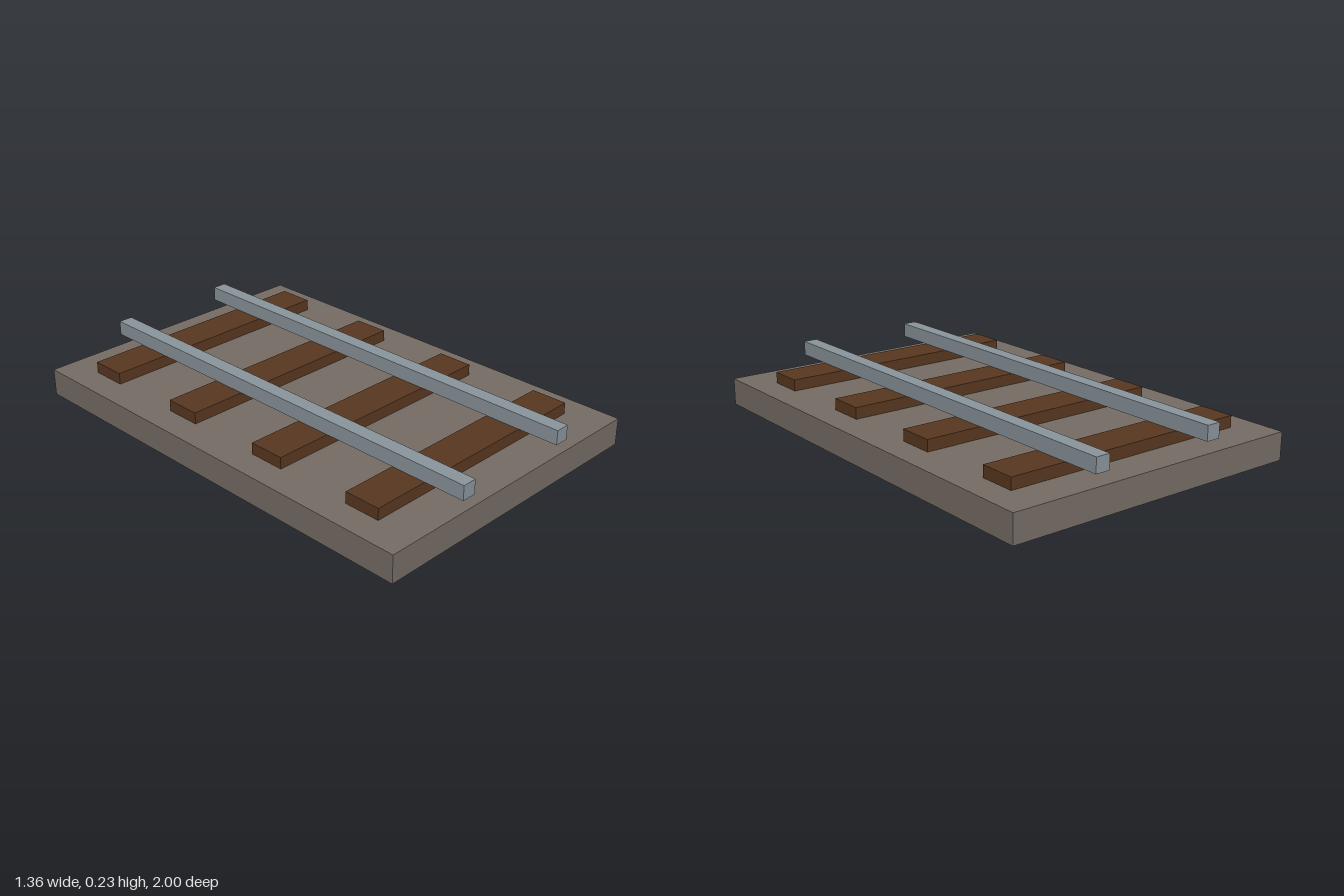
import * as THREE from 'three';

const ballastGrey = new THREE.MeshStandardMaterial({ color: 0x766d65 });
const sleeperBrown = new THREE.MeshStandardMaterial({ color: 0x593820 });
const railSteel = new THREE.MeshStandardMaterial({ color: 0x8a959d });
ballastGrey.name = 'ballastGrey';
sleeperBrown.name = 'sleeperBrown';
railSteel.name = 'railSteel';

// Box whose underside sits at height y
function block(name, material, [w, h, d], x, y, z) {
  const mesh = new THREE.Mesh(new THREE.BoxGeometry(w, h, d), material);
  mesh.name = name;
  mesh.position.set(x, y + h / 2, z);
  return mesh;
}

export function createModel() {
  const track = new THREE.Group();
  track.name = 'railwayTrack';

  // Ballast bed
  track.add(block('ballastBed', ballastGrey, [1.36, 0.12, 2], 0, 0, 0));

  // Four evenly spaced sleepers
  for (let i = 0; i < 4; i++) {
    track.add(block(`sleeper${i + 1}`, sleeperBrown, [1.12, 0.05, 0.16], 0, 0.12, -0.76 + i * 0.5));
  }

  // Pair of rails resting on the sleepers
  for (const side of [-1, 1]) {
    track.add(block(side > 0 ? 'leftRail' : 'rightRail', railSteel, [0.064, 0.064, 2], side * 0.28, 0.17, 0));
  }

  return track;
}
